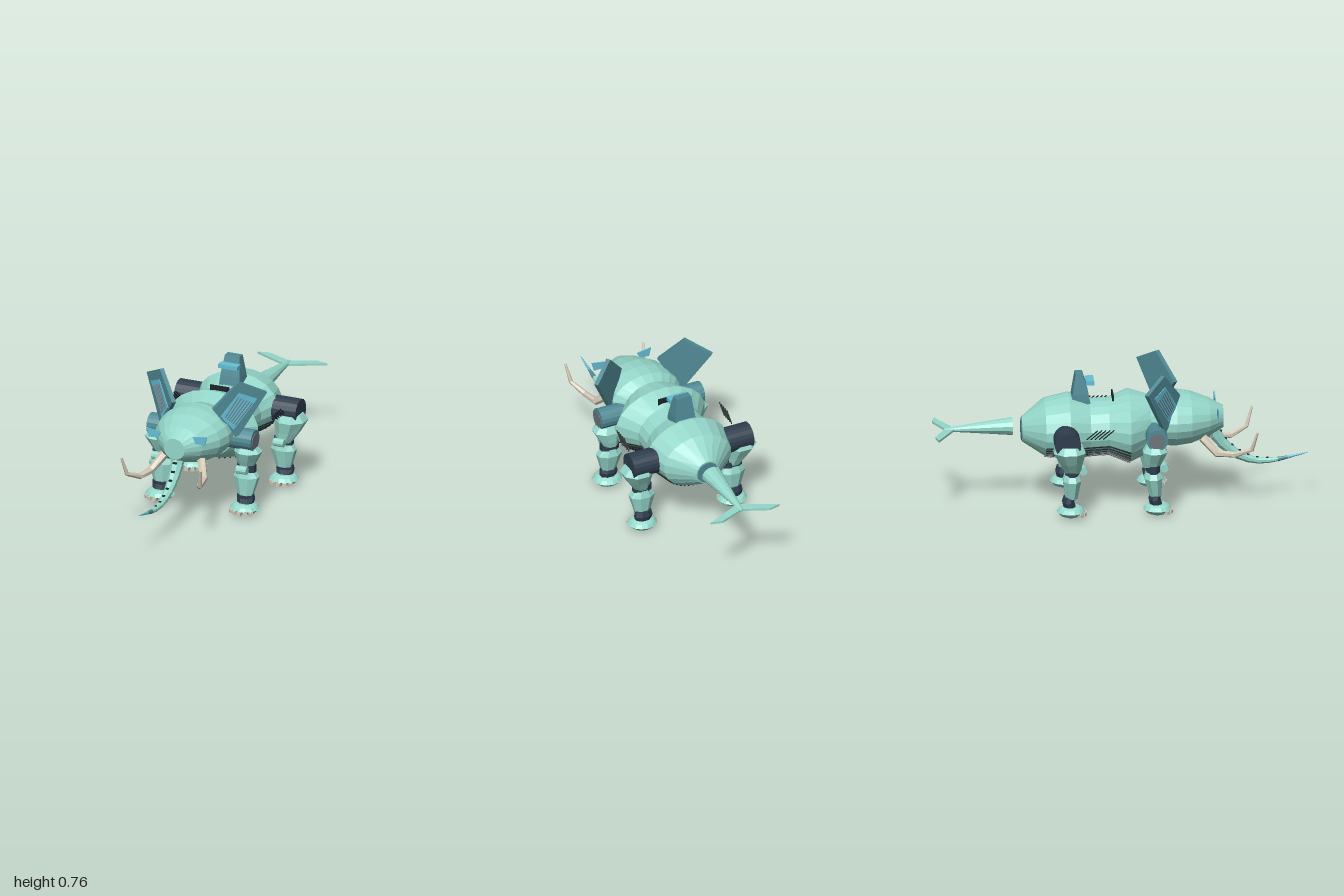
import * as THREE from 'three';

const mat = (name, color, side = THREE.FrontSide) =>
  Object.assign(new THREE.MeshStandardMaterial({ color, flatShading: true, side }), { name });
const V = (x, y, z) => new THREE.Vector3(x, y, z);

// Closed skin over a list of rings of points; the sign of the volume keeps it facing outward
function loft(rings) {
  const tris = [], n = rings[0].length, last = rings.length - 1;
  for (let i = 0; i < last; i++) for (let j = 0; j < n; j++) {
    const k = (j + 1) % n, a = rings[i], b = rings[i + 1];
    tris.push([a[j], a[k], b[k]], [a[j], b[k], b[j]]);
  }
  for (let j = 1; j < n - 1; j++) {
    tris.push([rings[0][0], rings[0][j + 1], rings[0][j]]);
    tris.push([rings[last][0], rings[last][j], rings[last][j + 1]]);
  }
  const o = rings[0][0];
  let vol = 0;
  for (const [a, b, c] of tris) vol += a.clone().sub(o).dot(b.clone().sub(o).cross(c.clone().sub(o)));
  const pts = tris.flatMap(([a, b, c]) => (vol < 0 ? [a, c, b] : [a, b, c]));
  const g = new THREE.BufferGeometry().setFromPoints(pts);
  g.computeVertexNormals();
  return g;
}

// Ring of n points about c spanned by the vectors u and v
const ring = (c, u, v, n) => Array.from({ length: n }, (_, j) => {
  const a = ((j + 0.5) / n) * Math.PI * 2;
  return c.clone().addScaledVector(u, Math.cos(a)).addScaledVector(v, Math.sin(a));
});
// Rows [z, rx, ry, y] along the body; rows [x, y, z, rx, rz] up a leg
const alongZ = (rows, n) => loft(rows.map(([z, rx, ry, y]) => ring(V(0, y, z), V(rx, 0, 0), V(0, ry, 0), n)));
const alongY = (rows, n) => loft(rows.map(([x, y, z, rx, rz]) => ring(V(x, y, z), V(rx, 0, 0), V(0, 0, rz), n)));

function box(x, y, z, w, h, d) {
  return new THREE.BoxGeometry(w, h, d).translate(x, y, z);
}
function bar(a, b, t) {
  const m = new THREE.Matrix4().lookAt(a, b, V(0, 1, 0.01)).setPosition(a.clone().lerp(b, 0.5));
  return new THREE.BoxGeometry(t, t, a.distanceTo(b)).applyMatrix4(m);
}
const drum = (x0, x1, y, z, r, n = 16) =>
  new THREE.CylinderGeometry(r, r, x1 - x0, n).rotateZ(Math.PI / 2).translate((x0 + x1) / 2, y, z);

function add(group, name, geo, material) {
  const mesh = new THREE.Mesh(geo, material);
  mesh.name = name;
  group.add(mesh);
}

// Mirrored copy across x = 0 with the triangles turned back to face outward
function mirrored(group, name) {
  const out = new THREE.Group();
  out.name = name;
  for (const m of group.children) {
    const g = m.geometry.index ? m.geometry.toNonIndexed() : m.geometry.clone();
    const p = g.attributes.position, a = V(0, 0, 0), b = V(0, 0, 0);
    for (let i = 0; i < p.count; i++) p.setX(i, -p.getX(i));
    for (let i = 0; i < p.count; i += 3) {
      a.fromBufferAttribute(p, i + 1);
      b.fromBufferAttribute(p, i + 2);
      p.setXYZ(i + 1, b.x, b.y, b.z);
      p.setXYZ(i + 2, a.x, a.y, a.z);
    }
    g.computeVertexNormals();
    add(out, m.name, g, m.material);
  }
  return out;
}

export function createModel() {
  const green = mat('mint shell', 0x96d8cb), teal = mat('dark teal', 0x508a95);
  const blue = mat('bright blue', 0x66bfd6, THREE.DoubleSide), navy = mat('navy joint', 0x2e3d4e);
  const ivory = mat('ivory', 0xd2c8b6), grey = mat('grey', 0x6c757c), black = mat('black line', 0x1b2528);

  const model = new THREE.Group();
  model.name = 'mechanicalElephant';

  // Body and head
  const bodyRows = [
    [0.15, 0.17, 0.155, 0.43], [0.04, 0.265, 0.19, 0.42], [-0.07, 0.185, 0.15, 0.42],
    [-0.17, 0.185, 0.15, 0.415], [-0.28, 0.235, 0.17, 0.43], [-0.41, 0.2, 0.152, 0.42], [-0.53, 0.065, 0.068, 0.412],
  ];
  add(model, 'body', alongZ(bodyRows, 20), green);
  add(model, 'head', alongZ([
    [0.545, 0.06, 0.06, 0.46], [0.47, 0.13, 0.1, 0.46], [0.37, 0.19, 0.135, 0.46],
    [0.29, 0.207, 0.146, 0.46], [0.21, 0.2, 0.142, 0.46], [0.13, 0.13, 0.115, 0.45],
  ], 20), green);
  add(model, 'tailSocket', alongZ([[-0.525, 0.062, 0.062, 0.412], [-0.534, 0.06, 0.06, 0.412]], 20), teal);

  // Belly ribs running along the underside
  for (let i = 0; i < 19; i++) {
    const a = Math.PI * (1.14 + (0.72 * i) / 18);
    add(model, 'bellyRib', loft(bodyRows.slice(1, 6).map(([z, rx, ry, y]) =>
      [[-0.012, 0.98], [0.012, 0.98], [0.012, 1.03], [-0.012, 1.03]].map(([d, s]) =>
        V(Math.cos(a + d) * rx * s, y + Math.sin(a + d) * ry * s, z)))), black);
  }

  // Tail with forked fluke
  add(model, 'tail', alongZ([[-0.58, 0.056, 0.048, 0.428], [-0.7, 0.041, 0.035, 0.424],
    [-0.83, 0.025, 0.021, 0.419], [-0.945, 0.012, 0.008, 0.414]], 12), green);
  const fluke = new THREE.Shape([[0, 0.885], [0.205, 0.985], [0.14, 1.0], [0, 0.94],
    [-0.14, 1.0], [-0.205, 0.985]].map(([x, z]) => new THREE.Vector2(x, z)));
  add(model, 'fluke', new THREE.ExtrudeGeometry(fluke, { depth: 0.012, bevelEnabled: false })
    .rotateX(-Math.PI / 2).translate(0, 0.408, 0), green);

  // Trunk of tapering segments
  const path = new THREE.CatmullRomCurve3([V(0, 0.41, 0.48), V(0, 0.33, 0.525), V(0, 0.26, 0.6),
    V(0, 0.213, 0.7), V(0, 0.207, 0.8), V(0, 0.225, 0.9), V(0, 0.248, 1)]);
  const N = 11, rad = (t) => 0.038 * (1 - t) + 0.002;
  const cut = (t, s) => {
    const d = path.getTangentAt(t), r = rad(t) * s;
    return ring(path.getPointAt(t), V(r, 0, 0), V(0, d.z * r, -d.y * r), 8);
  };
  for (let i = 0; i < N; i++) {
    const t = i / N, e = (i + 1) / N;
    add(model, 'trunkSegment', loft([cut(t, 1), cut(e, 0.9)]), i < 8 ? green : i < 9 ? teal : blue);
    if (i > 0 && i < 8) {
      const d = path.getTangentAt(t), r = rad(t) * 0.9;
      const p = path.getPointAt(t).add(V(0, d.z * r, -d.y * r));
      add(model, 'trunkSlot', box(0, p.y, p.z, r * 0.7, 0.008, 0.012), black);
    }
  }

  // Back tower, its bar and the small spine plate
  add(model, 'tower', loft([[0.56, 0.06, -0.27, -0.165], [0.61, 0.057, -0.262, -0.175], [0.72, 0.043, -0.245, -0.205]]
    .map(([y, w, z0, z1]) => [V(-w, y, z0), V(w, y, z0), V(w, y, z1), V(-w, y, z1)])), teal);
  add(model, 'towerBar', box(0, 0.674, -0.168, 0.112, 0.022, 0.045), blue);
  add(model, 'spinePlate', box(0, 0.58, -0.045, 0.11, 0.05, 0.008), black);

  // Parts of one side
  const side = new THREE.Group();
  side.name = 'leftSide';

  // Ear plate with inset panel and slats
  const earFrame = new THREE.Matrix4().makeBasis(V(0.781, 0, -0.625), V(0, 1, 0), V(0.625, 0, 0.781)).setPosition(0, 0, 0.39);
  const earPlate = (pts, from, depth) => new THREE.ExtrudeGeometry(
    new THREE.Shape(pts.map(([x, y]) => new THREE.Vector2(x / 0.781, y))), { depth, bevelEnabled: false })
    .translate(0, 0, from).applyMatrix4(earFrame);
  add(side, 'ear', earPlate([[0.112, 0.62], [0.21, 0.45], [0.225, 0.46], [0.345, 0.69], [0.225, 0.763]], -0.012, 0.024), teal);
  add(side, 'earPanel', earPlate([[0.145, 0.578], [0.2, 0.495], [0.302, 0.66], [0.224, 0.703]], 0.012, 0.004), blue);
  for (let i = 0; i < 6; i++) {
    const at = (x, y) => V(x / 0.781, y, 0.017).applyMatrix4(earFrame);
    add(side, 'earSlat', bar(at(0.165 + i * 0.008, 0.57 - i * 0.01), at(0.222 + i * 0.012, 0.68 - i * 0.008), 0.004), grey);
  }

  // Eye plate
  const eye = new THREE.Shape([[0.093, 0.532], [0.11, 0.497], [0.163, 0.495], [0.176, 0.545]]
    .map(([x, y]) => new THREE.Vector2(x, y)));
  add(side, 'eye', new THREE.ExtrudeGeometry(eye, { depth: 0.006, bevelEnabled: false }).translate(0, 0, 0.507), blue);

  // Bent tusk
  const tusk = [[V(0.108, 0.375, 0.43), 0.025], [V(0.155, 0.3, 0.505), 0.021], [V(0.172, 0.297, 0.6), 0.016],
    [V(0.213, 0.335, 0.685), 0.012], [V(0.232, 0.435, 0.715), 0.006]];
  add(side, 'tusk', loft(tusk.map(([p, r], i) => {
    const d = tusk[Math.min(i + 1, 4)][0].clone().sub(tusk[Math.max(i - 1, 0)][0]).normalize();
    const u = V(1, 0, 0).addScaledVector(d, -d.x).normalize();
    return ring(p, u.clone().multiplyScalar(r), d.cross(u).multiplyScalar(r), 6);
  })), ivory);

  // Floating flank lines
  for (let i = 0; i < 5; i++) {
    const z = -0.055 - i * 0.022;
    add(side, 'flankLine', bar(V(0.305, 0.49, z), V(0.305, 0.44, z - 0.06), 0.005), black);
  }

  // Shoulder and hip drums
  add(side, 'shoulder', drum(0.14, 0.305, 0.425, 0.175, 0.058), teal);
  add(side, 'shoulderCap', drum(0.3, 0.309, 0.42, 0.175, 0.044), grey);
  add(side, 'hip', drum(0.15, 0.355, 0.42, -0.305, 0.07, 20), navy);

  // Thighs
  add(side, 'frontThigh', alongY([[0.255, 0.385, 0.165, 0.055, 0.05], [0.262, 0.355, 0.165, 0.078, 0.07],
    [0.25, 0.3, 0.155, 0.058, 0.055], [0.245, 0.265, 0.15, 0.045, 0.042]], 8), green);
  add(side, 'rearThigh', alongY([[0.3, 0.41, -0.295, 0.07, 0.075], [0.305, 0.375, -0.295, 0.092, 0.092],
    [0.29, 0.31, -0.285, 0.07, 0.065], [0.272, 0.25, -0.275, 0.045, 0.045]], 8), green);

  // Lower legs, joints, feet and toes
  for (const [name, x, z, footZ] of [['front', 0.247, 0.155, 0.178], ['rear', 0.268, -0.28, -0.285]]) {
    add(side, name + 'Knee', alongY([[x, 0.275, z, 0.055, 0.04], [x, 0.215, z, 0.055, 0.04]], 8), navy);
    add(side, name + 'KneeBolt', drum(x - 0.03, x + 0.03, 0.26, z + 0.06, 0.022, 10), green);
    add(side, name + 'Shin', alongY([[x, 0.245, z, 0.047, 0.04], [x, 0.205, z, 0.075, 0.052],
      [x, 0.105, (z + footZ) / 2, 0.045, 0.034]], 8), green);
    add(side, name + 'Ankle', alongY([[x, 0.115, footZ - 0.01, 0.046, 0.03], [x, 0.085, footZ - 0.015, 0.052, 0.034],
      [x, 0.05, footZ - 0.005, 0.045, 0.036]], 8), navy);
    add(side, name + 'Foot', alongY([[x, 0.06, footZ, 0.048, 0.045], [x, 0.05, footZ, 0.066, 0.064],
      [x, 0.032, footZ, 0.082, 0.077], [x, 0.012, footZ, 0.06, 0.058], [x, 0, footZ, 0.03, 0.03]], 14), green);
    for (let i = -2; i <= 2; i++) {
      const a = i * 0.42;
      add(side, name + 'Toe', new THREE.BoxGeometry(0.022, 0.018, 0.026).translate(0, 0, 0.072)
        .rotateY(a).translate(x, 0.022, footZ), ivory);
    }
  }
  model.add(side, mirrored(side, 'rightSide'));
  return model;
}
